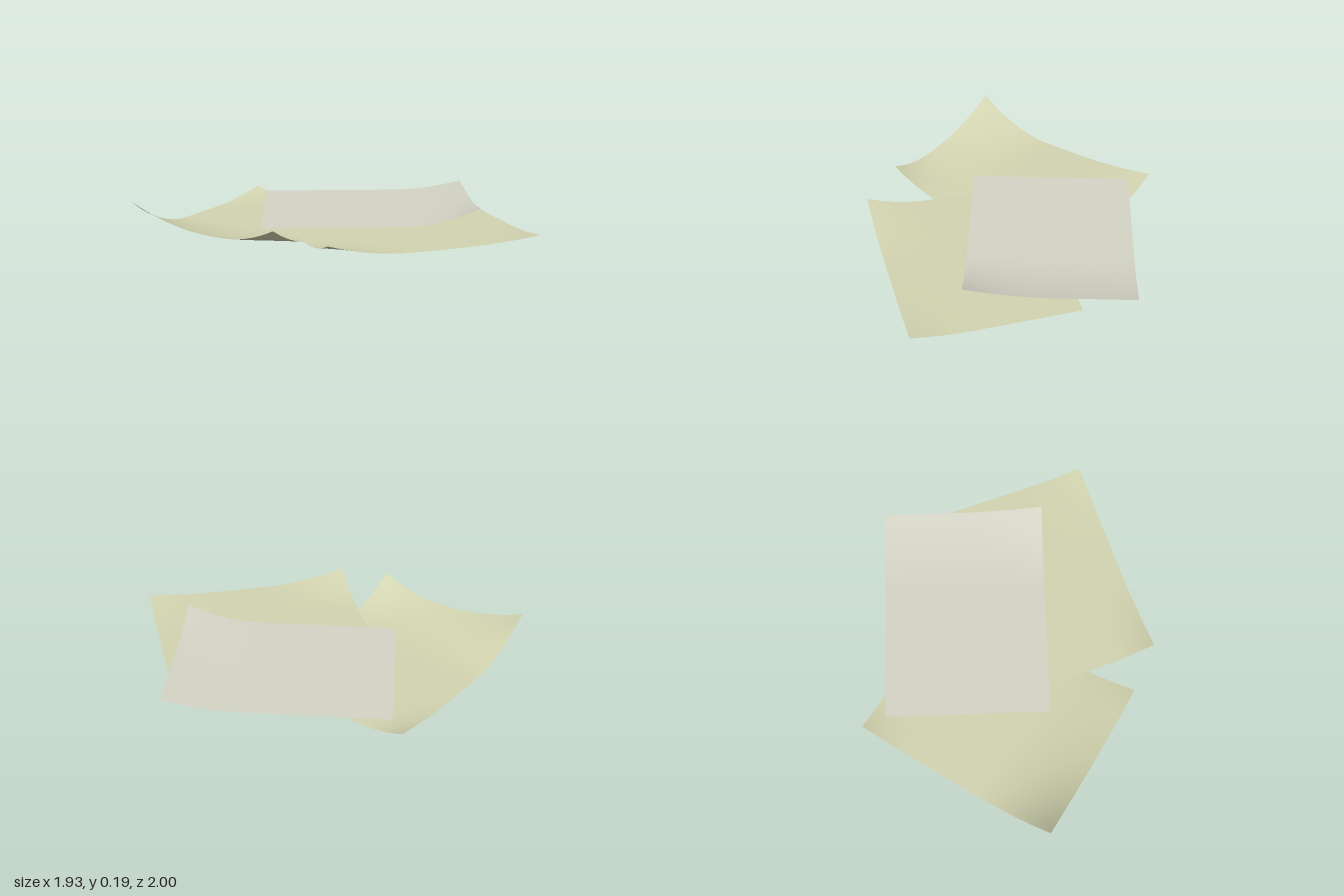
import * as THREE from 'three';

// One thin sheet: three plan corners [x, z], a resting height and curled-up edges or corners.
// Each lift is [u, v, reach in u, reach in v, height]; infinite reach lifts a whole edge.
function makeSheet({ name, color, origin, uEnd, vEnd, base, lifts }) {
  const geometry = new THREE.PlaneGeometry(1, 1, 28, 28);
  const pos = geometry.attributes.position;
  const fade = (distance, reach) => Math.max(0, 1 - distance / reach) ** 2;
  for (let i = 0; i < pos.count; i++) {
    const u = pos.getX(i) + 0.5;
    const v = pos.getY(i) + 0.5;
    let y = base;
    for (const [cu, cv, ru, rv, h] of lifts) {
      y += h * fade(Math.abs(u - cu), ru) * fade(Math.abs(v - cv), rv);
    }
    pos.setXYZ(
      i,
      origin[0] + u * (uEnd[0] - origin[0]) + v * (vEnd[0] - origin[0]),
      y,
      origin[1] + u * (uEnd[1] - origin[1]) + v * (vEnd[1] - origin[1])
    );
  }
  geometry.computeVertexNormals();
  const material = new THREE.MeshStandardMaterial({ color, side: THREE.DoubleSide });
  const mesh = new THREE.Mesh(geometry, material);
  mesh.name = name;
  return mesh;
}

export function createModel() {
  const group = new THREE.Group();
  group.name = 'paperSheets';
  const cream = 0xd2d4b0;
  const pale = 0xd4d4c6;

  // Lowest sheet, front edge curled with two raised corners
  group.add(makeSheet({
    name: 'bottomSheet', color: cream, base: 0,
    origin: [-0.6, 1], uEnd: [0.26, 0.71], vEnd: [-0.97, -0.12],
    lifts: [
      [0, 0, Infinity, 0.4, 0.065],
      [0, 0, 0.6, 0.4, 0.12],
      [1, 0, 0.35, 0.4, 0.08],
      [0, 1, 0.25, 0.4, 0.045],
    ],
  }));

  // Middle sheet, two corners raised on its outer side
  group.add(makeSheet({
    name: 'middleSheet', color: cream, base: 0.025,
    origin: [-0.31, 0.26], uEnd: [0.53, 0.58], vEnd: [0.12, -0.83],
    lifts: [
      [1, 0, 0.4, 0.4, 0.075],
      [1, 1, 0.4, 0.4, 0.027],
    ],
  }));

  // Top sheet, back edge curled and one corner lifted further
  group.add(makeSheet({
    name: 'topSheet', color: pale, base: 0.04,
    origin: [-0.84, -0.08], uEnd: [-0.14, 0.48], vEnd: [-0.1, -1],
    lifts: [
      [0, 1, Infinity, 0.35, 0.055],
      [1, 1, 0.55, 0.35, 0.045],
    ],
  }));

  return group;
}
